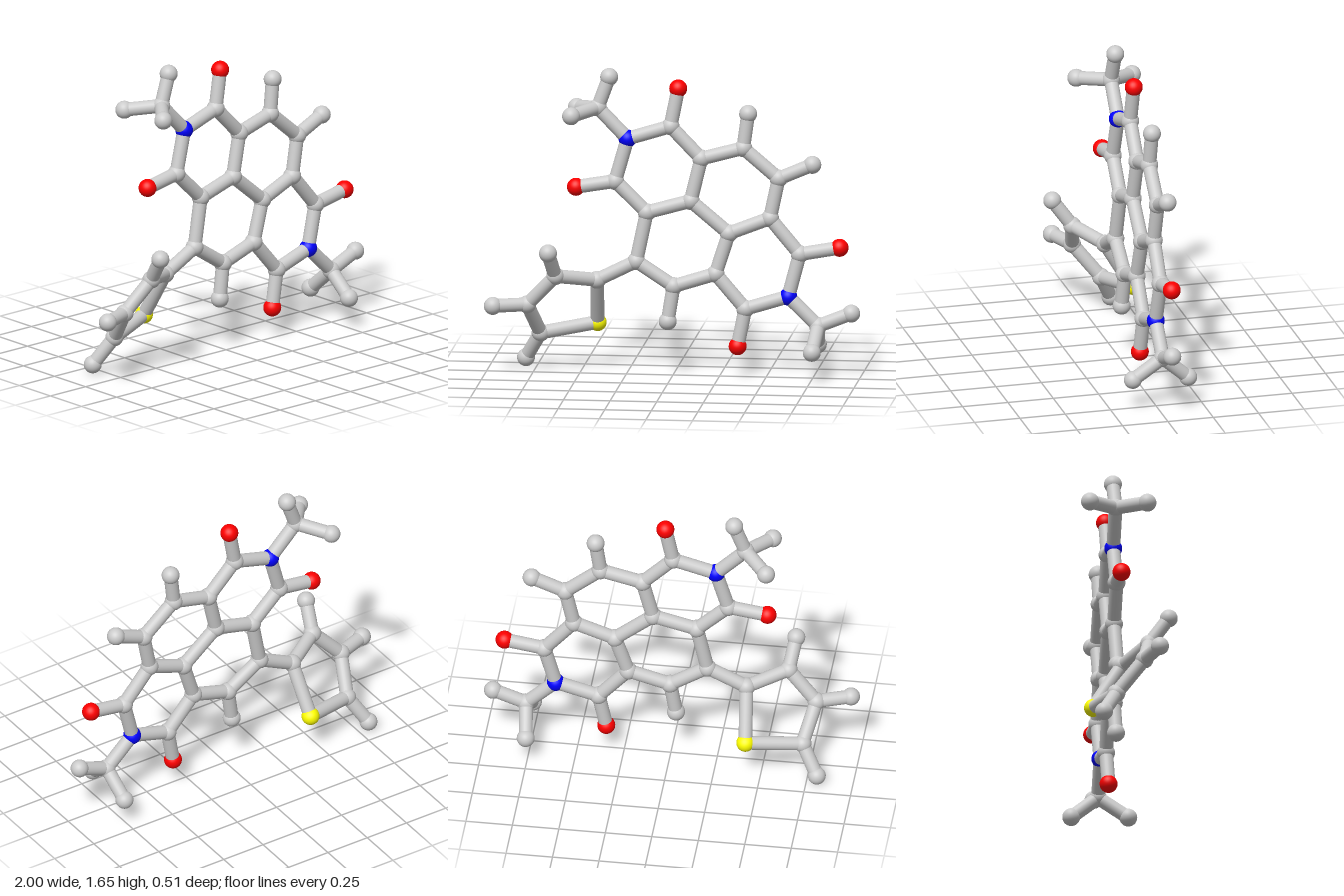
import * as THREE from 'three';

const BALL = 0.048, STICK = 0.037;

// the fused ring sheet lies in one slightly tilted plane
const sheetZ = (x, y) => -0.005 - 0.042 * y - 0.018 * x;

// name: [x, y, z]; z is taken from the sheet plane when left out
const atoms = {
  // fused rings
  N1: [-0.25, 1.27], Ca: [-0.02, 1.34], Cb: [0.145, 1.17], Cc: [0.37, 1.23],
  Cd: [0.56, 1.07], Ce: [0.515, 0.855], Cf: [0.295, 0.77], Cg: [0.09, 0.94],
  Ch: [-0.145, 0.875], Ci: [-0.315, 1.04], Cj: [-0.2, 0.61], Ck: [0, 0.48],
  Cl: [0.225, 0.55], Cm: [0.385, 0.365], N2: [0.615, 0.435], Cn: [0.675, 0.665],
  // oxygens and hydrogens on the rings
  O1: [0.02, 1.545], O2: [-0.525, 1.005], O3: [0.345, 0.163], O4: [0.888, 0.703],
  Hc: [0.395, 1.415], Hd: [0.74, 1.147], Hk: [-0.03, 0.29],
  // upper methyl group
  Cp: [-0.41, 1.435], Hp1: [-0.35, 1.6], Hp2: [-0.535, 1.415, 0.1], Hp3: [-0.54, 1.405, -0.208],
  // lower methyl group
  Cq: [0.775, 0.28], Hq1: [0.952, 0.35], Hq2: [0.76, 0.165, 0.13], Hq3: [0.757, 0.152, -0.176],
  // twisted five-sided ring
  T1: [-0.41, 0.505, -0.025], T2: [-0.62, 0.545, 0.1], T3: [-0.775, 0.38, 0.06],
  T4: [-0.72, 0.2, -0.085], S: [-0.425, 0.245, -0.18],
  Ht2: [-0.647, 0.687, 0.203], Ht3: [-0.952, 0.38, 0.125], Ht4: [-0.807, 0.05, -0.16],
};

// each chain joins its neighbours with sticks
const chains = [
  'N1 Ca Cb Cc Cd Ce Cn N2 Cm Cl Ck Cj Ch Ci N1',
  'Cb Cg Ch', 'Cg Cf Ce', 'Cf Cl',
  'Ca O1', 'Ci O2', 'Cm O3', 'Cn O4', 'Cc Hc', 'Cd Hd', 'Ck Hk',
  'N1 Cp Hp1', 'Hp2 Cp Hp3', 'N2 Cq Hq1', 'Hq2 Cq Hq3',
  'Cj T1 T2 T3 T4 S T1', 'T2 Ht2', 'T3 Ht3', 'T4 Ht4',
];

const kinds = {
  C: ['carbonBall', 0xcccccc], T: ['carbonBall', 0xcccccc], H: ['hydrogenBall', 0xcccccc],
  N: ['nitrogenBall', 0x0000ff], O: ['oxygenBall', 0xff0000], S: ['sulfurBall', 0xffff00],
};

export function createModel() {
  const model = new THREE.Group();
  model.name = 'molecule';
  const balls = new THREE.Group();
  balls.name = 'atoms';
  const sticks = new THREE.Group();
  sticks.name = 'bonds';
  model.add(balls, sticks);

  const materials = {};
  const material = (color) => (materials[color] ??= new THREE.MeshStandardMaterial({ color }));
  const ballGeometry = new THREE.SphereGeometry(BALL, 32, 20);
  const stickGeometry = new THREE.CylinderGeometry(STICK, STICK, 1, 24);
  const up = new THREE.Vector3(0, 1, 0);
  const at = {};

  // atoms
  for (const [key, [x, y, z = sheetZ(x, y)]] of Object.entries(atoms)) {
    at[key] = new THREE.Vector3(x, y, z);
    const [name, color] = kinds[key[0]];
    const ball = new THREE.Mesh(ballGeometry, material(color));
    ball.name = name;
    ball.position.copy(at[key]);
    balls.add(ball);
  }

  // bonds, running from centre to centre
  for (const chain of chains) {
    const keys = chain.split(' ');
    for (let i = 1; i < keys.length; i++) {
      const a = at[keys[i - 1]], b = at[keys[i]];
      const along = b.clone().sub(a);
      const stick = new THREE.Mesh(stickGeometry, material(0xcccccc));
      stick.name = 'bondStick';
      stick.position.copy(a).add(b).multiplyScalar(0.5);
      stick.scale.y = along.length();
      stick.quaternion.setFromUnitVectors(up, along.normalize());
      sticks.add(stick);
    }
  }
  return model;
}
